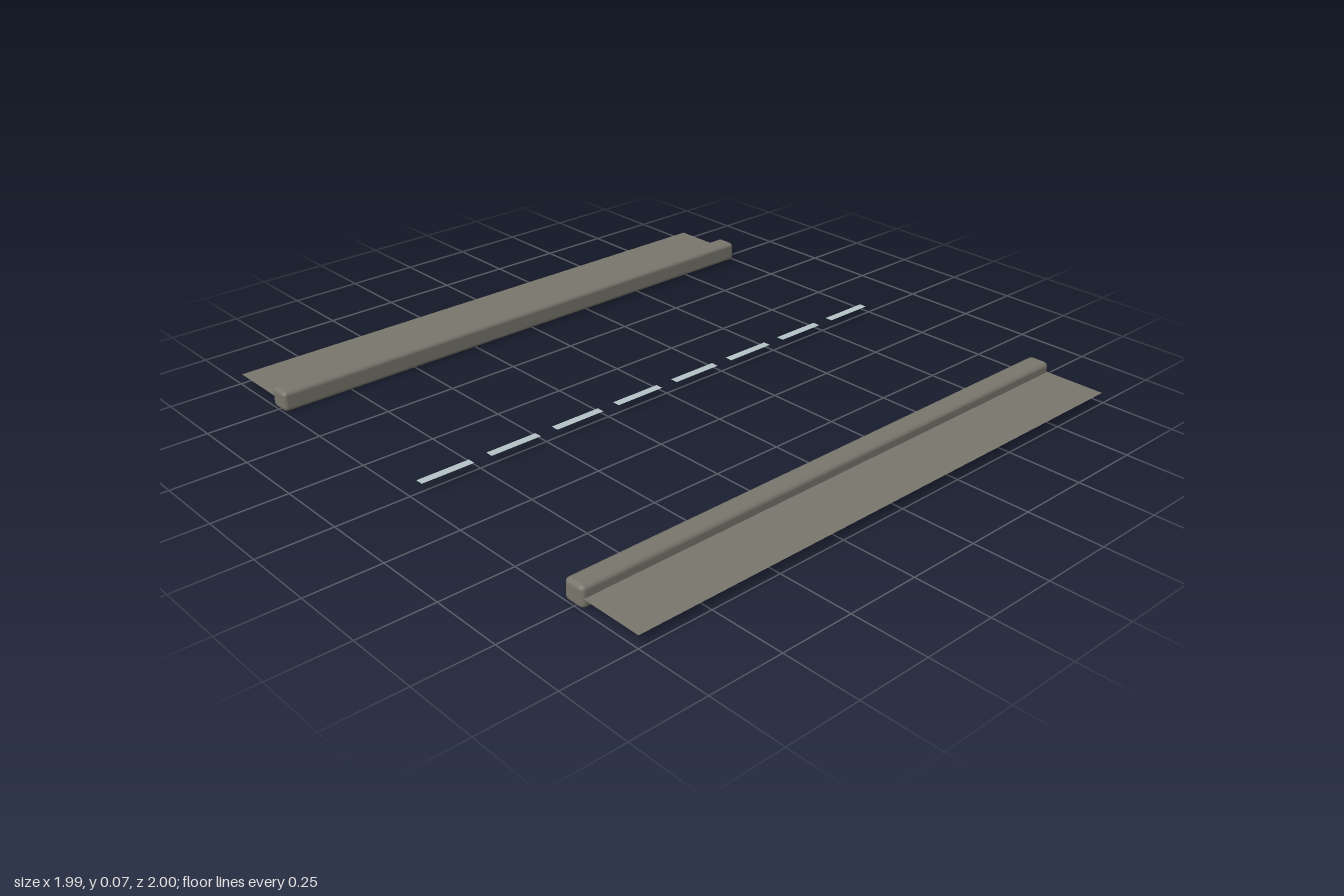
import * as THREE from 'three';
import { RoundedBoxGeometry } from 'three/addons/geometries/RoundedBoxGeometry.js';

const GROUND = 0.035; // street level, halfway up the kerbs

export function createModel() {
  const model = new THREE.Group();
  model.name = 'streetEdges';

  const stone = new THREE.MeshStandardMaterial({ color: 0x79766c, side: THREE.DoubleSide });
  stone.name = 'grey stone';
  const paint = new THREE.MeshStandardMaterial({ color: 0xb6c3c7, side: THREE.DoubleSide });
  paint.name = 'pale road paint';

  const add = (name, geometry, material, x, y, z) => {
    const mesh = new THREE.Mesh(geometry, material);
    mesh.name = name;
    mesh.position.set(x, y, z);
    model.add(mesh);
  };
  // Flat sheet facing up
  const sheet = (width, length) => new THREE.PlaneGeometry(width, length).rotateX(-Math.PI / 2);

  // Rounded kerb and flat pavement on each side
  const kerb = new RoundedBoxGeometry(0.075, 0.07, 2, 2, 0.015);
  const pavement = sheet(0.22, 1.99);
  for (const [side, s] of [['left', 1], ['right', -1]]) {
    add(side + 'Kerb', kerb, stone, s * 0.746, 0.035, 0);
    add(side + 'Pavement', pavement, stone, s * 0.885, GROUND, 0);
  }

  // Dashed centre line
  const dash = sheet(0.028, 0.186);
  for (let i = 0; i < 8; i++) {
    add('laneDash' + (i + 1), dash, paint, 0, GROUND, (i - 3.5) * 0.2495);
  }
  return model;
}
